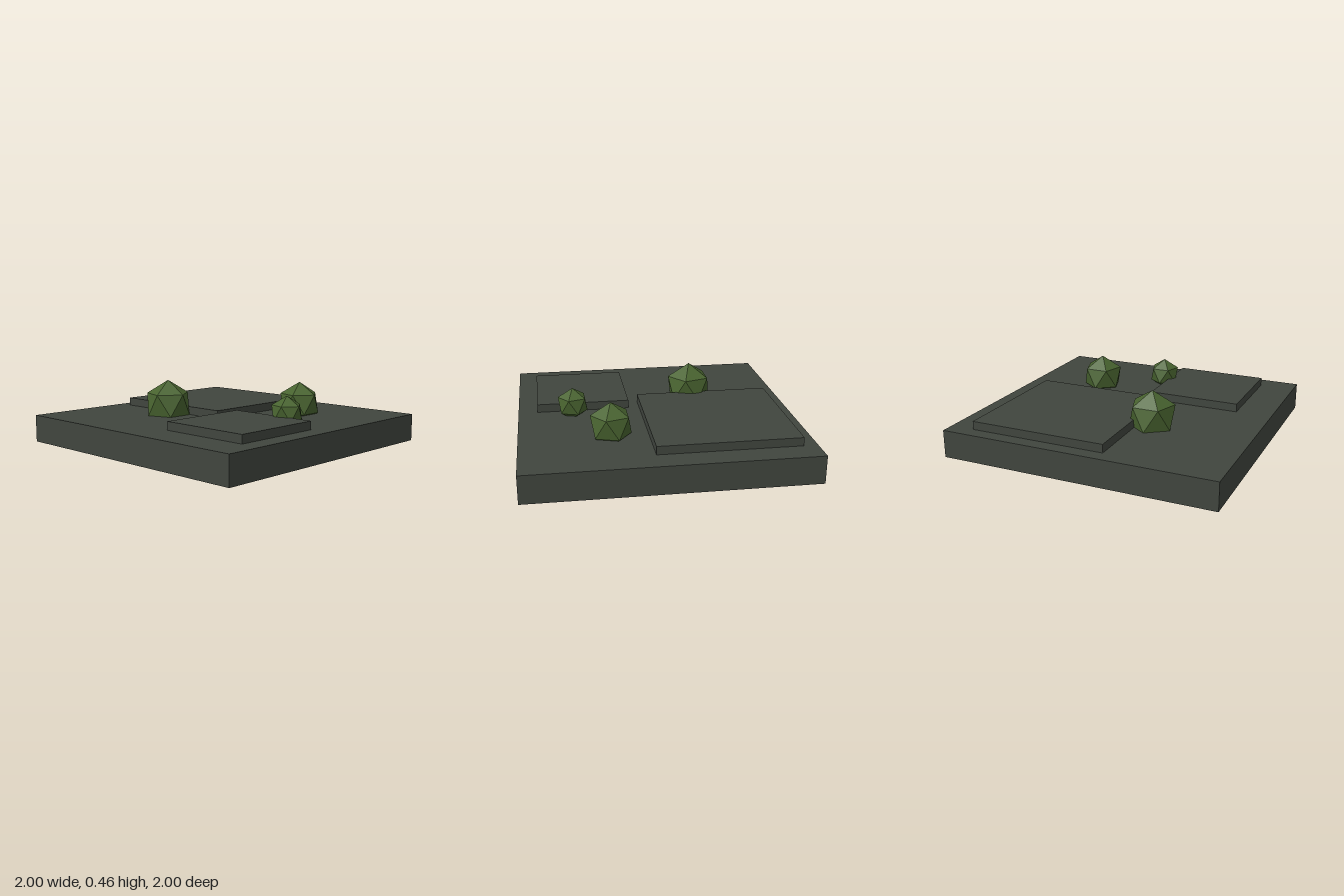
import * as THREE from 'three';

export function createModel() {
  const model = new THREE.Group();
  const stone = new THREE.MeshStandardMaterial({ color: 0x40453e });
  stone.name = 'darkStone';
  const leaf = new THREE.MeshStandardMaterial({ color: 0x48632f, flatShading: true });
  leaf.name = 'leafGreen';

  const add = (name, geometry, material, x, y, z) => {
    const mesh = new THREE.Mesh(geometry, material);
    mesh.name = name;
    mesh.position.set(x, y, z);
    model.add(mesh);
  };

  // Ground block with two raised square slabs
  add('base', new THREE.BoxGeometry(2, 0.2, 2), stone, 0, 0.1, 0);
  add('largeSlab', new THREE.BoxGeometry(1, 0.06, 1), stone, -0.4, 0.23, -0.32);
  add('smallSlab', new THREE.BoxGeometry(0.68, 0.06, 0.68), stone, 0.52, 0.23, 0.4);

  // Bushes: icosahedra tipped so that one corner points straight up
  const tip = -Math.atan(2 / (1 + Math.sqrt(5)));
  const bushes = [
    ['largeBush', 0.18, -0.32, 0.28],
    ['mediumBush', 0.16, 0.36, -0.44],
    ['smallBush', 0.12, 0.6, 0],
  ];
  for (const [name, radius, x, z] of bushes) {
    add(name, new THREE.IcosahedronGeometry(radius, 0).rotateZ(tip), leaf, x, 0.28, z);
  }

  return model;
}
